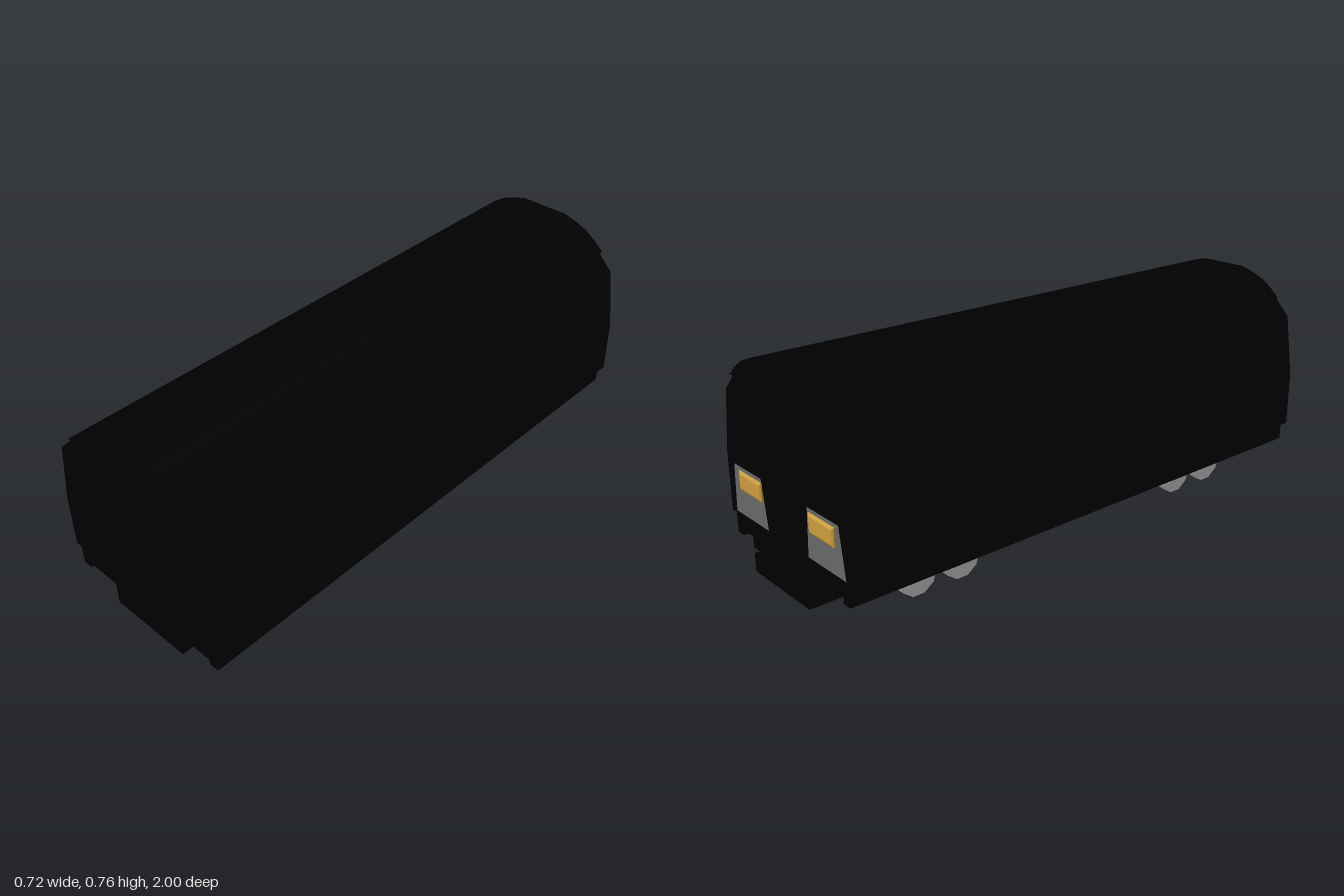
import * as THREE from 'three';

const black = new THREE.MeshStandardMaterial({ color: 0x000000 });
const grey = new THREE.MeshStandardMaterial({ color: 0xcccccc });
const bezelGrey = new THREE.MeshStandardMaterial({ color: 0x6a6a6a, side: THREE.DoubleSide });
const amber = new THREE.MeshStandardMaterial({ color: 0xd0a040 });

export function createModel() {
  const group = new THREE.Group();
  group.name = 'railCarriage';

  const add = (name, geometry, material = black) => {
    const mesh = new THREE.Mesh(geometry, material);
    mesh.name = name;
    group.add(mesh);
    return mesh;
  };
  const box = (name, x0, x1, y0, y1, z0, z1, material) => {
    const mesh = add(name, new THREE.BoxGeometry(Math.abs(x1 - x0), y1 - y0, z1 - z0), material);
    mesh.position.set((x0 + x1) / 2, (y0 + y1) / 2, (z0 + z1) / 2);
    return mesh;
  };
  // Cross-section in x and y, swept from z0 to z1
  const sweep = (name, points, z0, z1, material) => {
    const shape = new THREE.Shape(points.map(([x, y]) => new THREE.Vector2(x, y)));
    const geometry = new THREE.ExtrudeGeometry(shape, { depth: z1 - z0, bevelEnabled: false });
    return add(name, geometry.translate(0, 0, z0), material);
  };
  // Half profile listed bottom to top, closed by its mirror image
  const mirrored = (half) => [...half, ...half.map(([x, y]) => [-x, y]).reverse()];

  const back = -0.965;

  // Main body
  sweep('body', mirrored([
    [0.157, 0.14], [0.29, 0.14], [0.29, 0.12], [0.325, 0.12], [0.325, 0.19],
    [0.35, 0.19], [0.35, 0.39], [0.317, 0.607], [0.262, 0.663], [0.2, 0.71], [0.09, 0.745],
  ]), back, 1);

  // Roof shell, overhanging the cab end slightly
  sweep('roof', mirrored([
    [0.268, 0.667], [0.233, 0.698], [0.19, 0.727], [0.14, 0.747], [0.09, 0.76],
  ]), -0.972, 1);

  // Underframe and cab step
  box('underframe', -0.157, 0.157, 0.057, 0.12, -1, 1);
  box('underframeSpine', -0.157, 0.157, 0.12, 0.145, back, 1);
  box('cabStep', -0.157, 0.157, 0.14, 0.19, -1, back + 0.01);

  // Raised side bays with doors and windows
  for (const side of [-1, 1]) {
    const flip = (points) => points.map(([x, y]) => [x * side, y]);
    for (const [z0, z1, bays] of [[-0.75, -0.49, 1], [0.22, 0.75, 2]]) {
      sweep('sideBay', flip([
        [0.34, 0.19], [0.357, 0.19], [0.358, 0.38], [0.355, 0.41],
        [0.323, 0.61], [0.268, 0.667], [0.26, 0.655], [0.305, 0.6],
      ]), z0, z1);
      const width = (z1 - z0) / bays;
      for (let i = 0; i < bays; i++) {
        const mid = z0 + width * (i + 0.5);
        for (const s of [-1, 1]) {
          const c = mid + s * width * 0.22;
          sweep('bayWindow', flip([
            [0.34, 0.42], [0.355, 0.42], [0.328, 0.59], [0.31, 0.59],
          ]), c - 0.045, c + 0.045);
        }
      }
    }
    // Windows between the bays
    for (const z of [-0.87, -0.33, -0.13, 0.07, 0.87]) {
      sweep('sideWindow', flip([
        [0.33, 0.41], [0.349, 0.41], [0.322, 0.59], [0.30, 0.59],
      ]), z - 0.065, z + 0.065);
    }
  }

  // Cab end: gangway door and windscreens
  box('gangwayDoor', -0.085, 0.085, 0.2, 0.67, back - 0.003, back + 0.005);
  box('gangwayDoorWindow', -0.055, 0.055, 0.45, 0.62, back - 0.005, back);
  for (const side of [-1, 1]) {
    sweep('windscreen', [
      [0.11, 0.42], [0.31, 0.42], [0.285, 0.59], [0.25, 0.635], [0.11, 0.635],
    ].map(([x, y]) => [x * side, y]), back - 0.003, back + 0.005);

    // Headlight bezel, wider at the bottom
    const bezel = new THREE.ShapeGeometry(new THREE.Shape([
      [0.115, 0.2], [0.315, 0.2], [0.29, 0.365], [0.125, 0.365],
    ].map(([x, y]) => new THREE.Vector2(x, y))));
    bezel.rotateY(Math.PI).translate(side < 0 ? 0 : 0.43, 0, back - 0.002);
    add('headlightBezel', bezel, bezelGrey);

    // Headlight lens with a chamfered rim
    const lens = new THREE.ExtrudeGeometry(new THREE.Shape([
      [-0.06, -0.024], [0.06, -0.024], [0.06, 0.024], [-0.06, 0.024],
    ].map(([x, y]) => new THREE.Vector2(x, y))), {
      depth: 0.004, bevelThickness: 0.004, bevelSize: 0.008, bevelSegments: 1,
    });
    add('headlight', lens, amber).position.set(side * 0.203, 0.32, back - 0.006);
  }

  // Wheels with hubs on their outer faces
  const wheelGeometry = new THREE.CylinderGeometry(0.071, 0.071, 0.033, 10).rotateZ(Math.PI / 2);
  const hubGeometry = new THREE.CylinderGeometry(0.052, 0.052, 0.016, 10).rotateZ(Math.PI / 2);
  for (const z of [0.69, 0.52, -0.485, -0.655]) {
    for (const side of [-1, 1]) {
      add('wheel', wheelGeometry, grey).position.set(side * 0.2015, 0.071, z);
      add('wheelHub', hubGeometry, grey).position.set(side * 0.225, 0.073, z);
    }
    const axle = add('axle', new THREE.CylinderGeometry(0.015, 0.015, 0.38, 8).rotateZ(Math.PI / 2), grey);
    axle.position.set(0, 0.073, z);
  }

  return group;
}
